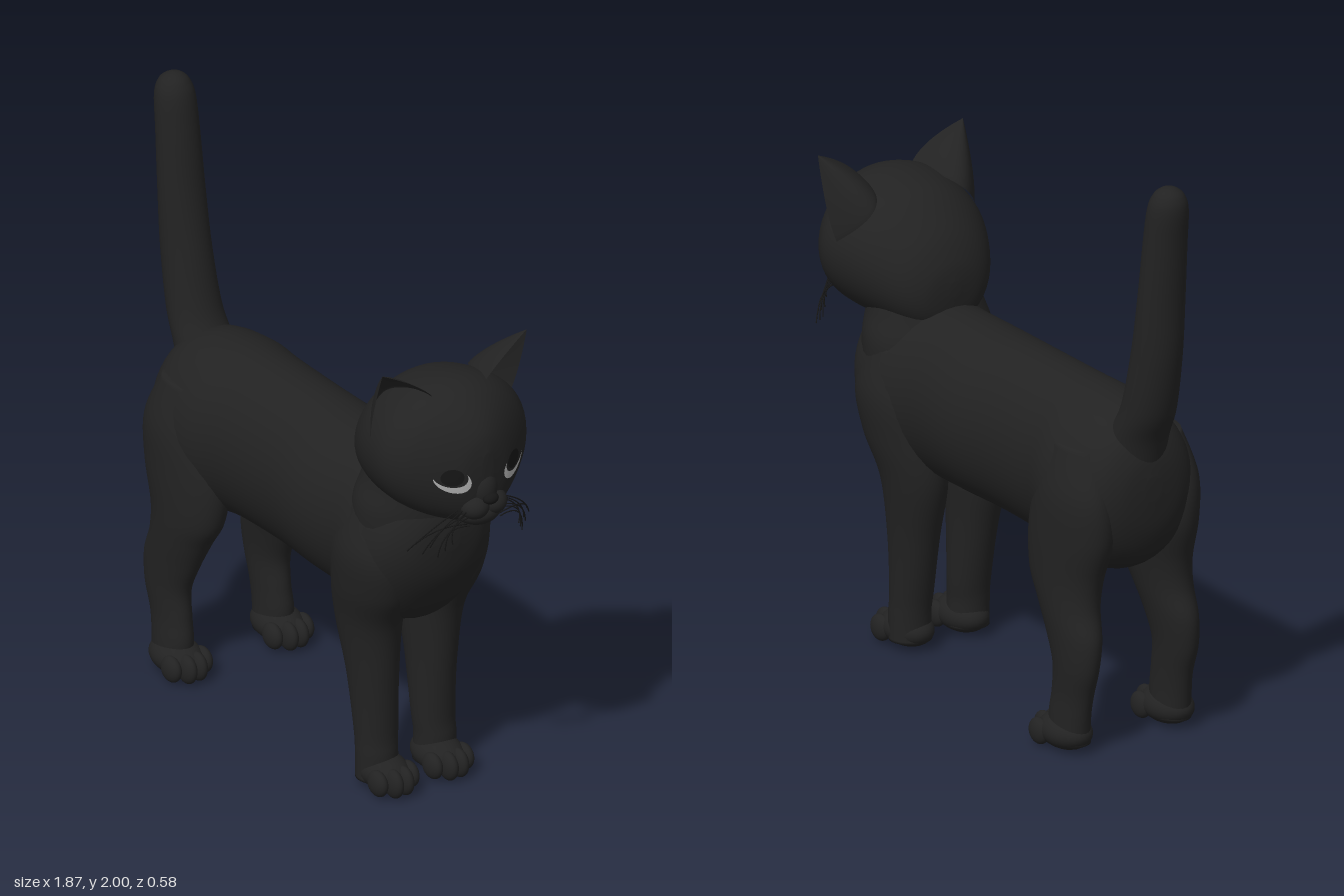
import * as THREE from 'three';
import { ParametricGeometry } from 'three/addons/geometries/ParametricGeometry.js';

const mat = (name, color, side = THREE.FrontSide) => {
  const m = new THREE.MeshStandardMaterial({ color, side });
  m.name = name;
  return m;
};
const fur = mat('blackFur', 0x222222);
const earFur = mat('earFur', 0x222222, THREE.DoubleSide);
const eyeWhite = mat('eyeSilver', 0xb0b0b0, THREE.DoubleSide);
const dark = mat('darkDetail', 0x161616, THREE.DoubleSide);

// Smoothly subdivides rows [position, lo1, hi1, lo2, hi2]
function smoothRows(rows, sub = 7) {
  const out = [];
  const at = i => rows[Math.min(Math.max(i, 0), rows.length - 1)];
  for (let i = 0; i < rows.length - 1; i++) {
    for (let k = 0; k < sub; k++) {
      const t = k / sub;
      out.push(rows[i].map((p1, c) => {
        const p0 = at(i - 1)[c], p2 = at(i + 1)[c], p3 = at(i + 2)[c];
        return p1 + 0.5 * t * (p2 - p0 + t * (2 * p0 - 5 * p1 + 4 * p2 - p3 + t * (3 * (p1 - p2) + p3 - p0)));
      }));
    }
  }
  out.push(at(rows.length));
  return out;
}

// Lofts ellipses along x (rows hold y then z extents) or along y (rows hold z then x extents)
function loft(rows, axis, n = 40) {
  const pos = [], idx = [];
  const add = (s, a, b) => (axis === 'x' ? pos.push(s, a, b) : pos.push(b, s, a));
  const rings = smoothRows(rows);
  for (const [s, l1, h1, l2, h2] of rings) {
    for (let j = 0; j < n; j++) {
      const a = (j / n) * Math.PI * 2;
      add(s, (l1 + h1) / 2 + (h1 - l1) / 2 * Math.cos(a), (l2 + h2) / 2 + (h2 - l2) / 2 * Math.sin(a));
    }
  }
  for (let i = 0; i < rings.length - 1; i++) {
    for (let j = 0; j < n; j++) {
      const a = i * n + j, b = i * n + (j + 1) % n;
      idx.push(a, b, a + n, b, b + n, a + n);
    }
  }
  // End caps
  const last = (rings.length - 1) * n;
  for (const [r, base, flip] of [[rings[0], 0, true], [rings.at(-1), last, false]]) {
    const c = pos.length / 3;
    add(r[0], (r[1] + r[2]) / 2, (r[3] + r[4]) / 2);
    for (let j = 0; j < n; j++) {
      const a = base + j, b = base + (j + 1) % n;
      flip ? idx.push(c, b, a) : idx.push(c, a, b);
    }
  }
  const g = new THREE.BufferGeometry();
  g.setAttribute('position', new THREE.Float32BufferAttribute(pos, 3));
  g.setIndex(idx);
  g.computeVertexNormals();
  return g;
}

// Row helpers: along x symmetric in z; along y given x extents and z extents
const alongX = rows => rows.map(([x, lo, hi, rz]) => [x, lo, hi, -rz, rz]);
const alongY = (rows, side = 1) => rows.map(([y, x0, x1, z0, z1]) =>
  side > 0 ? [y, z0, z1, x0, x1] : [y, -z1, -z0, x0, x1]);

const HEAD = alongX([
  [0.335, 1.22, 1.27, 0.02], [0.35, 1.13, 1.34, 0.11], [0.40, 1.09, 1.43, 0.18],
  [0.50, 1.08, 1.52, 0.24], [0.60, 1.08, 1.555, 0.27], [0.69, 1.085, 1.565, 0.277],
  [0.76, 1.09, 1.55, 0.245], [0.81, 1.10, 1.52, 0.195], [0.85, 1.12, 1.48, 0.14],
  [0.88, 1.16, 1.43, 0.085], [0.895, 1.26, 1.37, 0.02]]);
const headRings = smoothRows(HEAD, 12);

// Front of the head at a given y and z
function faceX(y, z) {
  const f = ([, l, h, , r]) => ((y - (l + h) / 2) / ((h - l) / 2)) ** 2 + (z / r) ** 2 - 1;
  for (let i = headRings.length - 1; i > 0; i--) {
    const a = f(headRings[i]), b = f(headRings[i - 1]);
    if (b < 0) return THREE.MathUtils.lerp(headRings[i][0], headRings[i - 1][0], Math.max(0, a / (a - b)));
  }
  return 0.6;
}

export function createModel() {
  const cat = new THREE.Group();
  cat.name = 'cat';
  const add = (name, geo, m = fur) => {
    const mesh = new THREE.Mesh(geo, m);
    mesh.name = name;
    cat.add(mesh);
    return mesh;
  };
  const ball = (name, p, r, m = fur) =>
    add(name, new THREE.SphereGeometry(1, 28, 18).scale(...r).translate(...p), m);

  // Torso, neck and tail
  add('torso', loft(alongX([
    [-0.79, 0.88, 0.96, 0.03], [-0.775, 0.76, 1.04, 0.12], [-0.73, 0.66, 1.12, 0.19],
    [-0.64, 0.60, 1.165, 0.235], [-0.50, 0.58, 1.185, 0.25], [-0.35, 0.60, 1.19, 0.225],
    [-0.10, 0.61, 1.19, 0.22], [0.10, 0.61, 1.185, 0.235], [0.30, 0.605, 1.185, 0.23],
    [0.45, 0.60, 1.18, 0.25], [0.55, 0.63, 1.17, 0.235], [0.62, 0.72, 1.15, 0.20],
    [0.67, 0.82, 1.08, 0.13], [0.69, 0.93, 1.0, 0.03]]), 'x'));
  add('neck', loft(alongY([
    [0.75, 0.32, 0.62, -0.15, 0.15], [0.9, 0.30, 0.675, -0.21, 0.21], [1.05, 0.31, 0.68, -0.225, 0.225],
    [1.15, 0.34, 0.68, -0.2, 0.2], [1.25, 0.38, 0.70, -0.18, 0.18]]), 'y'));
  add('tail', loft(alongY([
    [0.95, -0.77, -0.56, -0.10, 0.10], [1.08, -0.80, -0.60, -0.10, 0.10], [1.2, -0.85, -0.67, -0.092, 0.092],
    [1.4, -0.89, -0.72, -0.084, 0.084], [1.6, -0.905, -0.757, -0.08, 0.08], [1.8, -0.922, -0.782, -0.074, 0.074],
    [1.92, -0.935, -0.80, -0.068, 0.068], [1.97, -0.925, -0.82, -0.052, 0.052],
    [1.993, -0.90, -0.845, -0.028, 0.028], [2.0, -0.877, -0.87, -0.003, 0.003]]), 'y'));

  // Head, muzzle and nose
  add('head', loft(HEAD, 'x', 56));
  ball('chin', [0.83, 1.145, 0], [0.075, 0.05, 0.08]);
  ball('noseBridge', [0.86, 1.235, 0], [0.05, 0.07, 0.05]);
  ball('nose', [0.908, 1.213, 0], [0.022, 0.02, 0.028], dark);

  // Leg profiles: y, x extents, z extents
  const foreleg = [
    [0.03, 0.36, 0.50, 0.04, 0.185], [0.12, 0.36, 0.50, 0.045, 0.185], [0.2, 0.35, 0.495, 0.04, 0.185],
    [0.4, 0.31, 0.505, 0.035, 0.195], [0.6, 0.26, 0.53, 0.025, 0.22], [0.75, 0.27, 0.60, 0.03, 0.25],
    [0.9, 0.30, 0.62, 0.05, 0.26], [1.05, 0.38, 0.55, 0.1, 0.215]];
  const hindleg = [
    [0.03, -0.675, -0.52, 0.135, 0.26], [0.12, -0.685, -0.51, 0.14, 0.255], [0.2, -0.70, -0.52, 0.14, 0.25],
    [0.3, -0.73, -0.525, 0.135, 0.255], [0.4, -0.735, -0.485, 0.12, 0.26], [0.5, -0.705, -0.435, 0.1, 0.265],
    [0.6, -0.71, -0.38, 0.08, 0.268], [0.75, -0.755, -0.37, 0.06, 0.27], [0.9, -0.75, -0.42, 0.08, 0.262],
    [1.05, -0.68, -0.48, 0.12, 0.215]];

  for (const s of [1, -1]) {
    const side = s > 0 ? 'left' : 'right';
    add(side + 'Foreleg', loft(alongY(foreleg, s), 'y'));
    add(side + 'HindLeg', loft(alongY(hindleg, s), 'y'));

    // Paws with four toes each
    for (const [name, x, z] of [['ForePaw', 0.455, 0.108], ['HindPaw', -0.575, 0.2]]) {
      ball(side + name, [x, 0.06, s * z], [0.11, 0.06, 0.078]);
      for (let i = 0; i < 4; i++) {
        const middle = i === 1 || i === 2;
        ball(side + name + 'Toe', [x + (middle ? 0.09 : 0.06), 0.05, s * (z + (i - 1.5) * 0.041)],
          [0.047, middle ? 0.05 : 0.045, 0.026]);
      }
    }

    // Cupped ear, open to the front and side
    const base = new THREE.QuadraticBezierCurve3(
      new THREE.Vector3(0.73, 1.53, 0.10), new THREE.Vector3(0.42, 1.54, 0.15), new THREE.Vector3(0.62, 1.38, 0.27));
    const mid = new THREE.Vector3(0.64, 1.45, 0.19), tip = new THREE.Vector3(0.705, 1.655, 0.285);
    add(side + 'Ear', new ParametricGeometry((u, v, out) => {
      const b = base.getPoint(u).sub(mid).multiplyScalar(1 - v ** 1.4);
      out.copy(mid).lerp(tip, v).add(b);
      out.z *= s;
    }, 24, 16), earFur);

    // Rounded cheek pad beside the nose
    ball(side + 'MuzzlePad', [0.862, 1.178, s * 0.035], [0.055, 0.045, 0.05]);

    // Silver crescent and dark iris laid on the face
    const patch = (fn, lift) => new ParametricGeometry((u, v, out) => {
      const [y, z] = fn(u, v);
      out.set(faceX(y, z) + lift, y, s * z);
    }, 32, 6);
    add(side + 'EyeCrescent', patch((u, v) => {
      const a = THREE.MathUtils.degToRad(165 + u * 220);
      const k = 1 - 0.5 * v * Math.sin(Math.PI * u);
      return [1.292 + 0.046 * k * Math.sin(a), 0.12 - 0.056 * k * Math.cos(a + 0.3)];
    }, 0.007), eyeWhite);
    add(side + 'Iris', patch((u, v) => {
      const a = u * Math.PI * 2;
      return [1.303 + 0.03 * v * Math.sin(a), 0.12 + 0.034 * v * Math.cos(a)];
    }, 0.004), dark);

    // Drooping whiskers
    for (let i = 0; i < 7; i++) {
      const t = i / 6;
      const curve = new THREE.QuadraticBezierCurve3(
        new THREE.Vector3(0.885 - 0.03 * t, 1.185 - 0.035 * (i % 3), s * 0.06),
        new THREE.Vector3(0.88 - 0.03 * t, 1.14, s * (0.15 + 0.03 * t)),
        new THREE.Vector3(0.88 - 0.1 * t, 1.07 - 0.05 * ((i * 3) % 7) / 6, s * (0.13 + 0.11 * t)));
      add(side + 'Whisker', new THREE.TubeGeometry(curve, 12, 0.0022, 5), dark);
    }
  }
  return cat;
}
